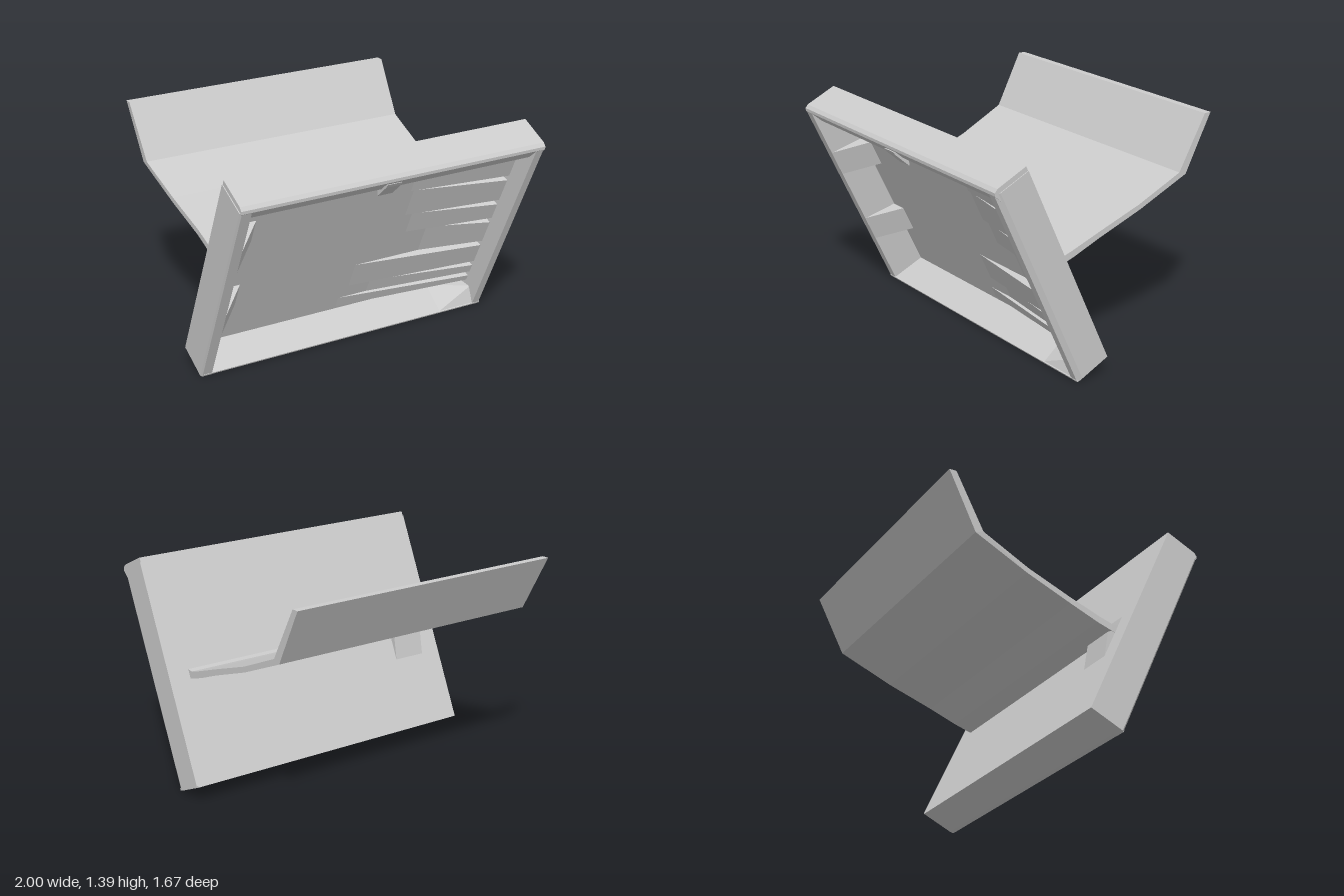
import * as THREE from 'three';
import { ConvexGeometry } from 'three/addons/geometries/ConvexGeometry.js';

const material = new THREE.MeshStandardMaterial({ color: 0xcccccc, flatShading: true, side: THREE.DoubleSide });

// Convex solid around a few corner points.
function hull(parent, name, points) {
  const mesh = new THREE.Mesh(new ConvexGeometry(points.map((p) => new THREE.Vector3(...p))), material);
  mesh.name = name;
  parent.add(mesh);
}

// Solid with a [z, y] section running from x0 to x1.
const beam = (parent, name, x0, x1, section) =>
  hull(parent, name, section.flatMap(([z, y]) => [[x0, y, z], [x1, y, z]]));

// Solid with an [x, z] section running from y0 to y1.
const post = (parent, name, y0, y1, section) =>
  hull(parent, name, section.flatMap(([x, z]) => [[x, y0, z], [x, y1, z]]));

function createTray() {
  const tray = new THREE.Group();
  tray.name = 'tray';
  const H = 1.414, back = -0.238, floor = -0.2;

  // Frame with sloping inner faces
  beam(tray, 'backPanel', -0.99, 0.99, [[floor, 0.02], [floor, H - 0.02], [back, H - 0.02], [back, 0.02]]);
  beam(tray, 'bottomWall', -0.99, 0.99, [[-0.025, 0], [0, 0.005], [0, 0.015], [floor, 0.06], [back, 0.06], [back, 0]]);
  beam(tray, 'topWall', -0.995, 0.995, [[back, H], [-0.03, H], [-0.006, H - 0.012], [0, H - 0.03], [-0.008, 1.37], [-0.035, 1.305], [back, 1.305]]);
  post(tray, 'rightWall', 0, H - 0.03, [[-1, back], [-1, -0.012], [-0.99, -0.002], [-0.93, -0.002], [-0.86, floor], [-0.86, back]]);
  post(tray, 'leftWall', 0.01, H - 0.03, [[1, back], [1, -0.035], [0.985, -0.002], [0.935, -0.002], [0.92, floor], [0.92, back]]);

  // Slats that thicken towards one side wall, with narrow gaps between them
  const edges = [0.08, 0.16, 0.26, 0.45, 0.66, 0.82, 1.03, 1.22];
  const starts = [0, 0.2, 0.05, 0.5, 0.35, 0.3, 0.28];
  starts.forEach((x, i) => {
    const y0 = edges[i], y1 = edges[i + 1], front = floor + 0.08;
    hull(tray, 'slat', [
      [x, y0, floor], [x, y1, floor], [0.93, y0 + 0.04, floor], [0.93, y1, floor],
      [0.93, y0 + 0.04, front], [0.93, y1, front],
    ]);
  });

  // Sloping straps across the opposite wall
  for (const [y0, y1] of [[0.36, 0.53], [0.9, 1.07]]) {
    post(tray, 'strap', y0, y1, [[-0.96, -0.003], [-0.93, -0.003], [-0.75, floor], [-0.96, floor]]);
  }

  // Bottom corner gusset
  hull(tray, 'cornerGusset', [[0.68, 0.015, -0.005], [0.94, 0.015, -0.005], [0.94, 0.1, -0.08], [0.94, 0.06, floor], [0.68, 0.06, floor]]);

  // Small latch under the top edge
  beam(tray, 'latch', -0.09, 0.01, [[0.004, H - 0.04], [0, 1.35], [-0.05, 1.235], [-0.08, 1.31]]);

  tray.position.set(0, 0.002, 0.243);
  tray.rotation.x = 0.435;
  return tray;
}

function createFlap() {
  const flap = new THREE.Group();
  flap.name = 'flap';

  // Stations along the bent sheet: [upper z, upper y, lower z, lower y, right side x]
  const stations = [
    [0.345, 0.74, 0.325, 0.68, -0.866],
    [0.28, 0.735, 0.275, 0.692, -0.867],
    [0.19, 0.763, 0.18, 0.722, -0.868],
    [0, 0.83, -0.01, 0.795, -0.872],
    [-0.3, 0.932, -0.31, 0.9, -0.895],
    [-0.61, 1.065, -0.66, 1.047, -0.925],
    [-0.795, 1.395, -0.84, 1.395, -0.943],
  ];
  const corners = ([zu, yu, zl, yl, x]) => [[x, yu, zu], [x, yl, zl], [0.862, yu, zu], [0.862, yl, zl]];
  for (let i = 0; i < stations.length - 1; i++) {
    hull(flap, 'flapSection', [...corners(stations[i]), ...corners(stations[i + 1])]);
  }

  // Gussets joining one end of the flap to the tray
  beam(flap, 'upperGusset', -0.865, -0.74, [[0.385, 0.83], [0.275, 0.735], [0.345, 0.72]]);
  beam(flap, 'lowerGusset', -0.865, -0.65, [[0.325, 0.7], [0.275, 0.692], [0.25, 0.68], [0.215, 0.49]]);
  return flap;
}

export function createModel() {
  const model = new THREE.Group();
  model.name = 'trayWithFlap';
  model.add(createTray(), createFlap());
  return model;
}
